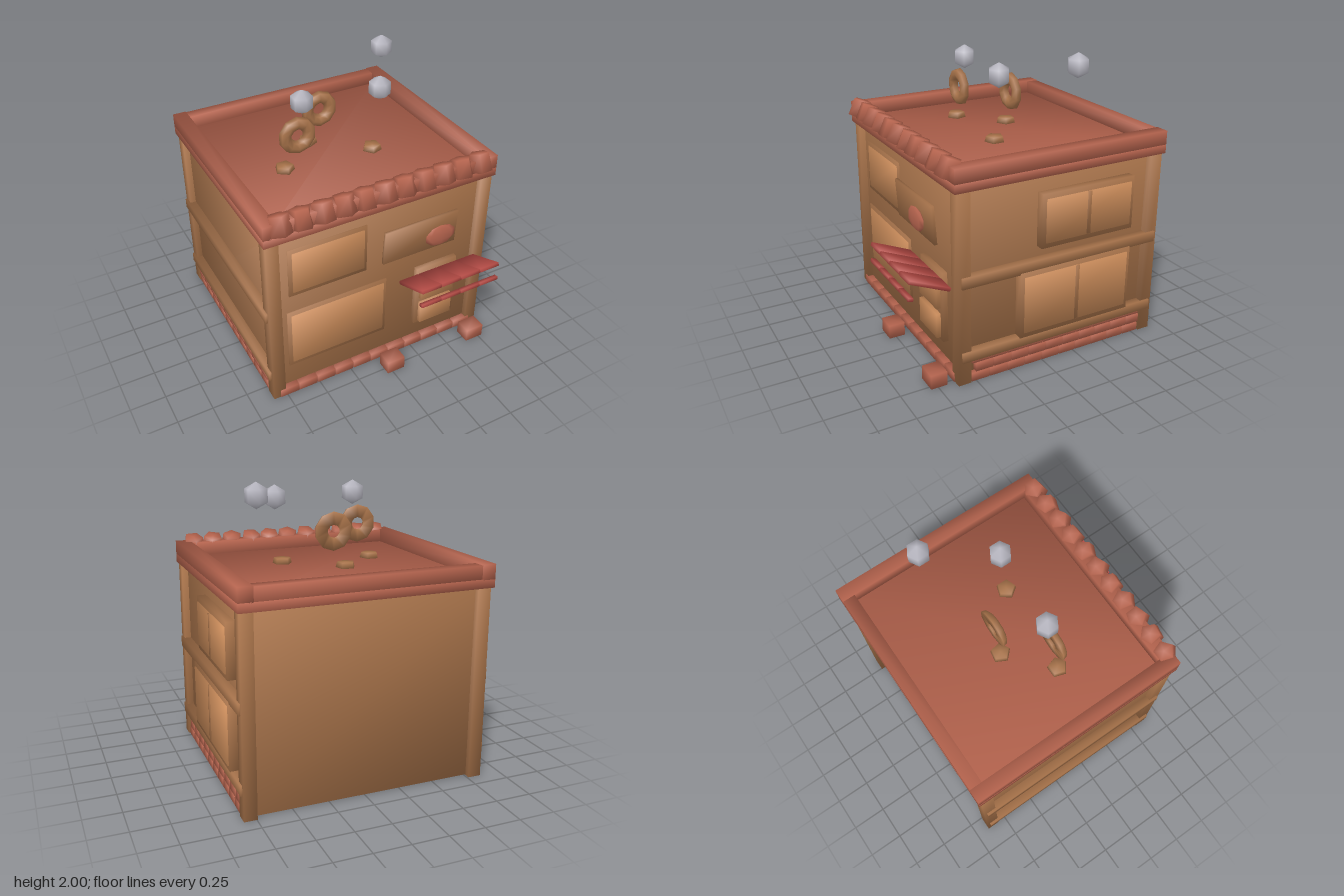
import * as THREE from 'three';
import { mergeVertices } from 'three/addons/utils/BufferGeometryUtils.js';

const mat = (name, color) => Object.assign(new THREE.MeshStandardMaterial({ color }), { name });

// weld corners and give each the plain average of its face directions, for soft edges
function soften(geometry) {
  geometry.deleteAttribute('uv');
  geometry.deleteAttribute('normal');
  const welded = mergeVertices(geometry);
  const { position } = welded.attributes;
  const sums = Array.from({ length: position.count }, () => new THREE.Vector3());
  const tri = new THREE.Triangle(), n = new THREE.Vector3();
  for (let i = 0; i < welded.index.count; i += 3) {
    const ids = [0, 1, 2].map(k => welded.index.getX(i + k));
    tri.setFromAttributeAndIndices(position, ...ids).getNormal(n);
    for (const id of ids) sums[id].add(n);
  }
  const normals = sums.flatMap(s => s.normalize().toArray());
  welded.setAttribute('normal', new THREE.Float32BufferAttribute(normals, 3));
  return welded;
}

export function createModel() {
  const wood = mat('brown wood', 0xa8734a);
  const lightWood = mat('light wood', 0xcb8c5a);
  const tile = mat('terracotta', 0xb6644e);
  const red = mat('awning red', 0xb44a44);
  const grey = mat('pale grey', 0xb9b8c2);

  const model = new THREE.Group();
  const add = (name, geometry, material) => {
    const m = new THREE.Mesh(soften(geometry), material);
    m.name = name;
    model.add(m);
    return m;
  };
  // box from its two extreme corners
  const box = (name, material, x0, x1, y0, y1, z0, z1) => {
    const m = add(name, new THREE.BoxGeometry(x1 - x0, y1 - y0, z1 - z0), material);
    m.position.set((x0 + x1) / 2, (y0 + y1) / 2, (z0 + z1) / 2);
    return m;
  };

  // house body
  box('houseBody', wood, -0.808, 0.788, 0.005, 1.34, -0.86, 0.59);

  // corner posts
  for (const [x0, x1] of [[-0.85, -0.76], [0.745, 0.833]])
    for (const [z0, z1] of [[-0.9, -0.81], [0.54, 0.63]])
      box('cornerPost', wood, x0, x1, 0, 1.34, z0, z1);

  // front windows: frame and pane
  for (const [x0, x1, y0, y1] of [[-0.69, -0.12, 0.84, 1.21], [-0.71, 0.04, 0.23, 0.70]]) {
    box('frontWindowFrame', wood, x0, x1, y0, y1, 0.56, 0.6);
    box('frontWindowPane', lightWood, x0 + 0.028, x1 - 0.022, y0 + 0.03, y1 - 0.03, 0.57, 0.607);
  }

  // side windows: raised frame, pane and centre bar
  for (const [z0, z1, y0, y1, bar] of [[-0.67, 0.04, 0.84, 1.21, -0.31], [-0.67, 0.19, 0.23, 0.70, -0.24]]) {
    box('sideWindowFrame', wood, 0.77, 0.848, y0, y1, z0, z1);
    box('sideWindowPane', lightWood, 0.78, 0.856, y0 + 0.035, y1 - 0.035, z0 + 0.025, z1 - 0.03);
    box('sideWindowBar', wood, 0.84, 0.861, y0 + 0.04, y1 - 0.035, bar - 0.013, bar + 0.013);
  }

  // door and its two raised panels
  box('door', wood, 0.275, 0.605, 0.2, 0.7, 0.56, 0.625);
  box('doorPanel', lightWood, 0.305, 0.57, 0.435, 0.655, 0.6, 0.655);
  box('doorPanel', lightWood, 0.305, 0.57, 0.22, 0.395, 0.6, 0.655);

  // leaning sign board with an oval badge
  const sign = box('signBoard', wood, -0.02, 0.55, 0.88, 1.145, 0.637, 0.657);
  sign.rotation.x = 0.07;
  const badge = add('signBadge', new THREE.SphereGeometry(1, 8, 5), tile);
  badge.scale.set(0.12, 0.08, 0.023);
  badge.position.set(0.39, 1.015, 0.7);

  // horizontal side rails
  for (const [y0, y1] of [[0.69, 0.765], [0.165, 0.235]]) {
    box('rightRail', wood, 0.77, 0.845, y0, y1, -0.88, 0.605);
    box('leftRail', wood, -0.866, -0.79, y0, y1, -0.88, 0.605);
  }

  // brick footing along the front and both sides
  for (let i = 0; i < 11; i++) {
    const x = -0.8 + i * 0.1436;
    box('frontBrick', tile, x, x + 0.137, 0, 0.06, 0.57, 0.635);
  }
  [[0, 0.058], [0.066, 0.126], [0.134, 0.168]].forEach(([y0, y1], row) => {
    for (let i = 0; i < 10; i++) {
      const z = 0.53 - i * 0.134 - (row % 2) * 0.03;
      for (const [x0, x1] of [[0.77, 0.825], [-0.845, -0.79]])
        box('sideBrick', tile, x0, x1, y0, y1, z - 0.127, z);
    }
  });

  // loose step blocks
  for (const [x0, x1] of [[-0.04, 0.095], [0.64, 0.78]])
    box('stepBlock', tile, x0, x1, 0, 0.098, 0.685, 0.8);

  // awning slats and their front lip
  for (let i = 0; i < 4; i++) {
    const x = 0.125 + i * 0.157;
    box('awningSlat', red, x, x + 0.152, 0.705, 0.729, 0.625, 0.925).rotation.x = -0.41;
    box('awningLip', red, x, x + 0.152, 0.645, 0.667, 0.888, 0.922).rotation.x = -0.3;
  }

  // roof deck, cornice and parapet
  box('cornice', tile, -0.865, 0.845, 1.325, 1.385, -0.92, 0.65);
  box('parapet', tile, -0.865, -0.77, 1.38, 1.48, -0.92, 0.65);
  box('parapet', tile, 0.747, 0.845, 1.38, 1.48, -0.92, 0.65);
  box('parapet', tile, -0.77, 0.747, 1.38, 1.475, -0.918, -0.83);
  box('parapet', tile, -0.77, 0.747, 1.38, 1.475, 0.545, 0.645);

  // row of tilted five-sided tiles on the front edge
  for (let i = 0; i < 11; i++) {
    const t = add('roofTile', new THREE.CylinderGeometry(0.068, 0.077, 0.125, 5), tile);
    t.position.set(-0.745 + i * 0.1467, 1.449, 0.622);
    t.rotation.set(-0.36, i * 0.45, 0);
  }

  // floating rings, flat at the back and rounded in front
  const profile = [[0.043, 0], [0.133, 0], [0.124, 0.032], [0.09, 0.046], [0.056, 0.032], [0.043, 0]]
    .map(p => new THREE.Vector2(...p));
  for (const [x, z] of [[-0.322, 0.01], [-0.032, -0.245]]) {
    const ring = add('ring', new THREE.LatheGeometry(profile, 10), wood);
    ring.rotation.x = Math.PI / 2;
    ring.position.set(x, 1.635, z);
  }

  // chips lying on the roof
  [[-0.415, 0], [-0.12, -0.25], [0.235, 0.04]].forEach(([x, z], i) => {
    const chip = add('roofChip', new THREE.CylinderGeometry(0.06, 0.07, 0.04, 5), wood);
    chip.position.set(x, 1.403, z);
    chip.rotation.y = i * 1.1;
  });

  // floating pale balls
  for (const [x, y, z] of [[-0.275, 1.86, 0], [0.285, 1.845, 0.04], [0.553, 1.917, -0.39]]) {
    const ball = add('ball', new THREE.SphereGeometry(0.085, 6, 3), grey);
    ball.rotation.y = Math.PI / 2;
    ball.position.set(x, y, z);
  }

  return model;
}
